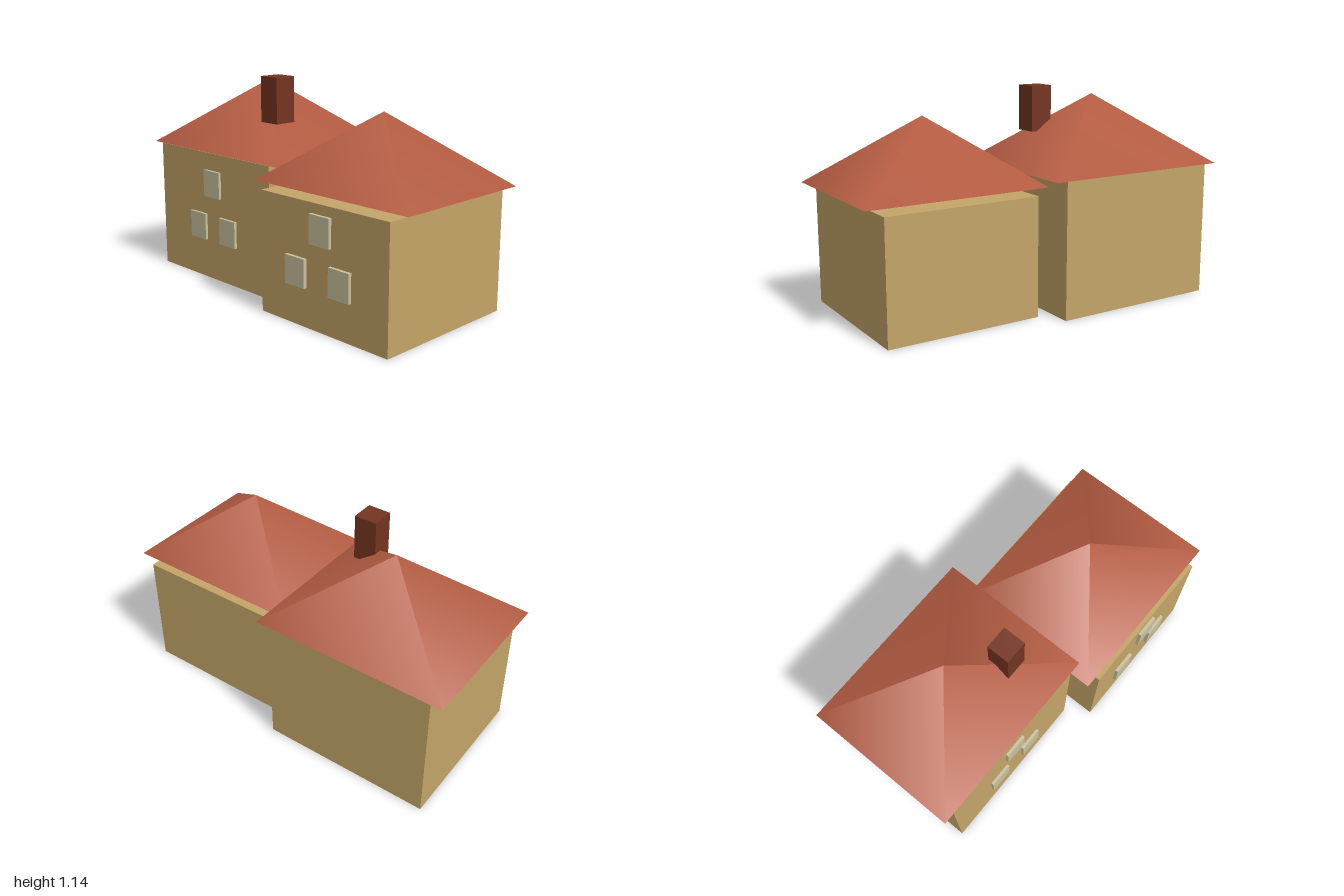
import * as THREE from 'three';

const material = (name, color) => {
  const m = new THREE.MeshStandardMaterial({ color });
  m.name = name;
  return m;
};

export function createModel() {
  const wall = material('sandWall', 0xc4a568);
  const roof = material('terracottaRoof', 0xb45c42);
  const brick = material('darkBrick', 0x743421);
  const pane = material('paleWindow', 0xc9c19e);

  const add = (parent, name, geometry, mat) => {
    const mesh = new THREE.Mesh(geometry, mat);
    mesh.name = name;
    parent.add(mesh);
  };

  // Box given by its extents on each axis
  const box = ([x0, x1], [y0, y1], [z0, z1]) =>
    new THREE.BoxGeometry(x1 - x0, y1 - y0, z1 - z0)
      .translate((x0 + x1) / 2, (y0 + y1) / 2, (z0 + z1) / 2);

  // Four-sided pyramid with softly blended hips
  const pyramid = ([x0, x1], [y0, y1], [z0, z1]) =>
    new THREE.ConeGeometry(Math.SQRT1_2, 1, 4, 1)
      .rotateY(Math.PI / 4)
      .scale(x1 - x0, y1 - y0, z1 - z0)
      .translate((x0 + x1) / 2, (y0 + y1) / 2, (z0 + z1) / 2);

  const house = (name, walls, roofExtents, windows, windowFront) => {
    const group = new THREE.Group();
    group.name = name;
    add(group, 'walls', box(...walls), wall);
    add(group, 'roof', pyramid(...roofExtents), roof);
    // Raised windows on the front wall
    windows.forEach(([x, y], i) => add(group, `window${i + 1}`,
      box([x - 0.066, x + 0.066], [y - 0.074, y + 0.074], [walls[2][1] - 0.01, windowFront]), pane));
    return group;
  };

  const model = new THREE.Group();
  model.name = 'twinHouses';

  const tall = house('tallHouse',
    [[-0.935, -0.01], [0, 0.718], [-0.49, 0.355]],
    [[-1, 0.057], [0.72, 1.095], [-0.5, 0.358]],
    [[-0.47, 0.548], [-0.597, 0.296], [-0.345, 0.296]], 0.37);
  // Chimney on the front slope
  add(tall, 'chimney', box([-0.28, -0.155], [0.893, 1.14], [0.04, 0.165]), brick);

  const low = house('lowHouse',
    [[0.075, 0.915], [0, 0.633], [-0.362, 0.482]],
    [[0, 1], [0.667, 1.022], [-0.347, 0.463]],
    [[0.496, 0.508], [0.33, 0.275], [0.624, 0.275]], 0.5);

  model.add(tall, low);
  return model;
}
